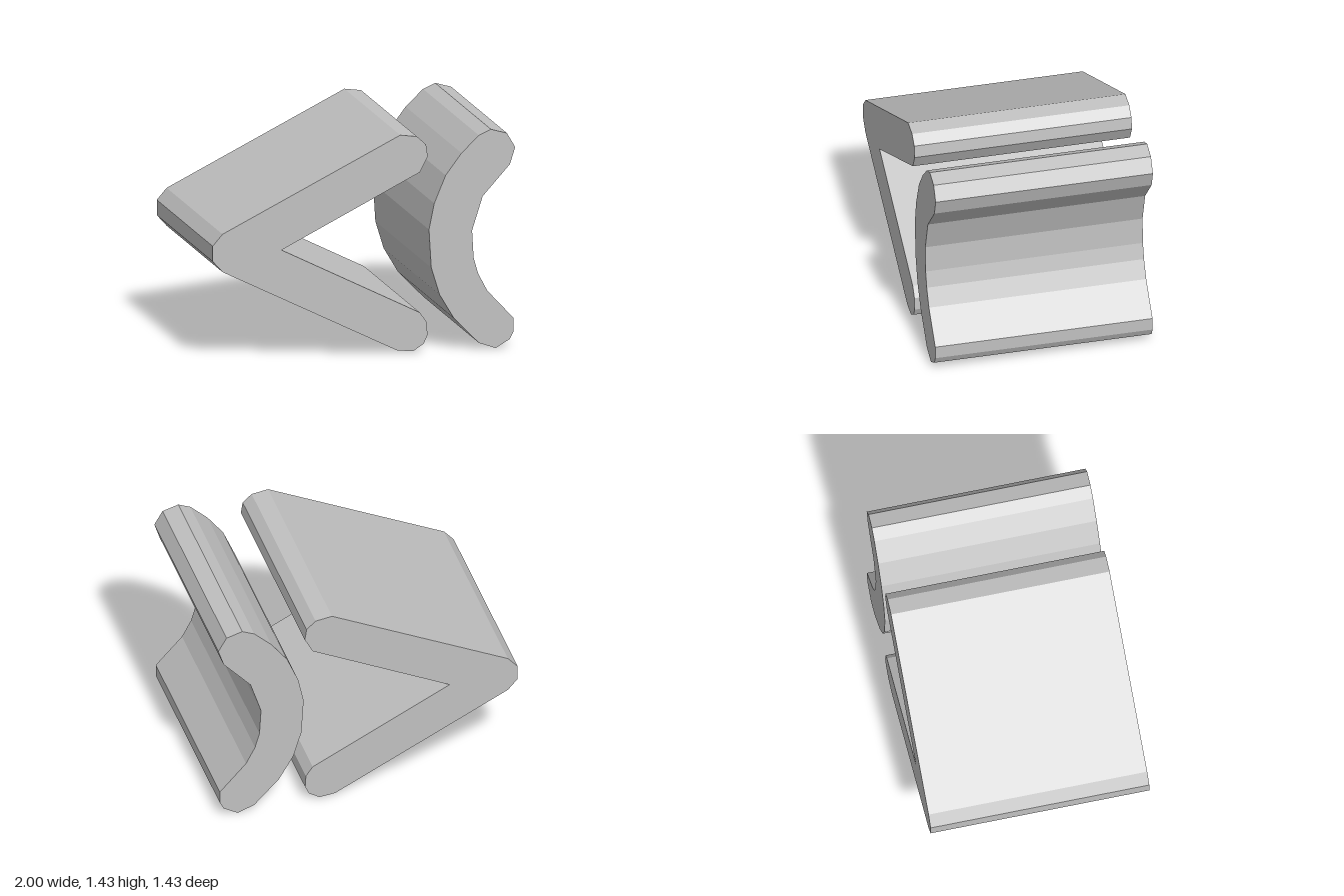
import * as THREE from 'three';

const DEPTH = 1.43;

// Straight prism from an [x, y] outline, centred on z
function prism(name, outline, material) {
  const shape = new THREE.Shape(outline.map(([x, y]) => new THREE.Vector2(x, y)));
  const geometry = new THREE.ExtrudeGeometry(shape, { depth: DEPTH, bevelEnabled: false });
  geometry.translate(0, 0, -DEPTH / 2);
  const mesh = new THREE.Mesh(geometry, material);
  mesh.name = name;
  return mesh;
}

export function createModel() {
  const grey = new THREE.MeshStandardMaterial({ color: 0xc0c0c0, flatShading: true });
  grey.name = 'light grey';

  // Sideways V with rounded arm ends
  const chevron = prism('chevron', [
    [-1, 0.77], [-1, 0.67], [-0.935, 0.597],
    [0.22, 0.02], [0.325, 0.01], [0.395, 0.055], [0.42, 0.11], [0.415, 0.195], [0.37, 0.26],
    [-0.545, 0.72],
    [0.37, 1.18], [0.422, 1.28], [0.41, 1.36], [0.35, 1.415], [0.24, 1.43],
    [-0.935, 0.845],
  ], grey);

  // Curved bar bulging towards the opening of the V
  const arc = prism('curvedBar', [
    [0.84, 1.435], [0.76, 1.4], [0.645, 1.29], [0.54, 1.15], [0.465, 0.97], [0.43, 0.8],
    [0.445, 0.55], [0.5, 0.37], [0.595, 0.21], [0.76, 0.04],
    [0.87, 0], [0.965, 0.055], [0.99, 0.105], [0.99, 0.19],
    [0.815, 0.38], [0.755, 0.495], [0.725, 0.6], [0.715, 0.78], [0.785, 1.0],
    [0.965, 1.2], [1, 1.31], [0.945, 1.405],
  ], grey);

  const model = new THREE.Group();
  model.name = 'chevronAndArc';
  model.add(chevron, arc);
  return model;
}
